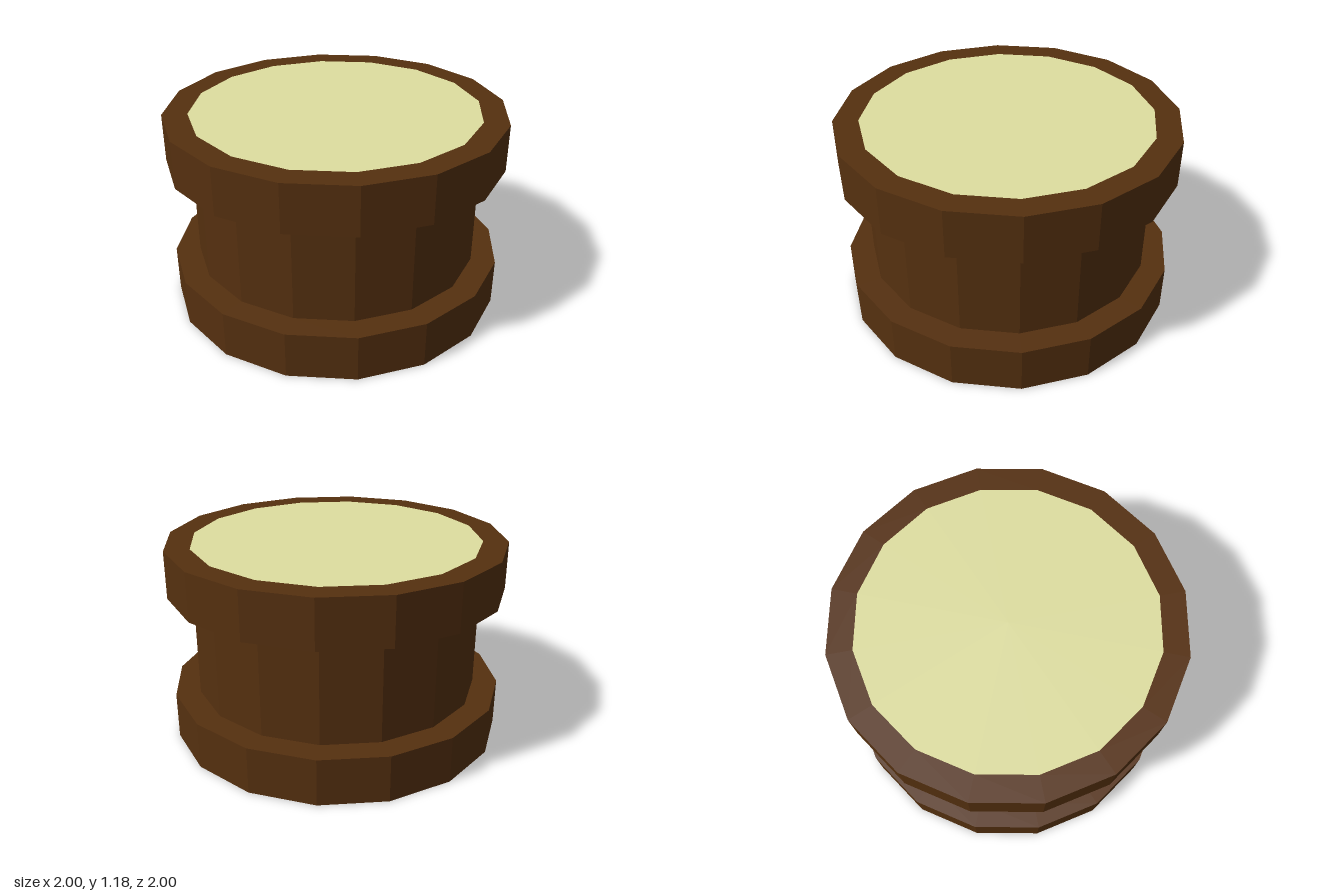
import * as THREE from 'three';

const SIDES = 16, OUTER = 1, INNER = 0.853, HEIGHT = 1.176, HOOP = 0.28;

export function createModel() {
  const group = new THREE.Group();
  const wood = new THREE.MeshStandardMaterial({ color: 0x55300f, flatShading: true });
  const hide = new THREE.MeshStandardMaterial({ color: 0xdedea0, flatShading: true });

  const add = (name, geometry, material, y) => {
    const mesh = new THREE.Mesh(geometry, material);
    mesh.name = name;
    mesh.position.y = y;
    group.add(mesh);
    return mesh;
  };
  const lathe = (points) =>
    new THREE.LatheGeometry(points.map(([r, y]) => new THREE.Vector2(r, y)), SIDES);

  // Recessed drum wall between the hoops
  add('shell', lathe([[INNER, HOOP], [INNER, HEIGHT - HOOP]]), wood, 0);

  // Wide hoops: flat ring below, outer wall, flat ring above
  const hoop = lathe([[INNER, 0], [OUTER, 0], [OUTER, HOOP], [INNER, HOOP]]);
  add('bottomHoop', hoop, wood, 0);
  add('topHoop', hoop, wood, HEIGHT - HOOP);

  // Skins flush with the hoop rims
  const skin = new THREE.CircleGeometry(INNER, SIDES);
  add('topSkin', skin, hide, HEIGHT).rotation.x = -Math.PI / 2;
  add('bottomSkin', skin, hide, 0).rotation.x = Math.PI / 2;

  return group;
}
